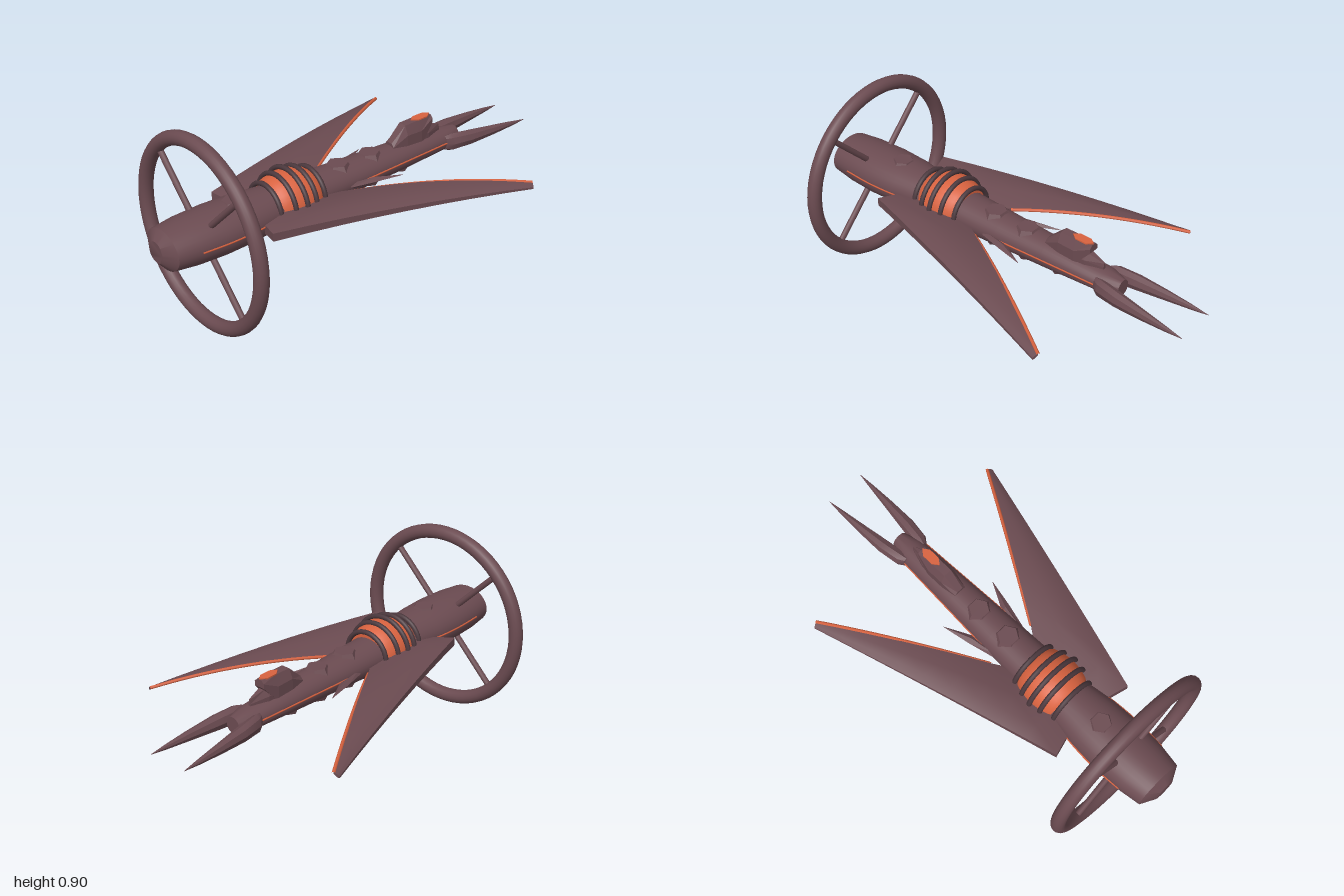
import * as THREE from 'three';
import { toCreasedNormals } from 'three/addons/utils/BufferGeometryUtils.js';

const AXIS = 0.45;
const hullMat = new THREE.MeshStandardMaterial({ color: 0x6b4b51 });
hullMat.name = 'dusky plum metal';
const darkMat = new THREE.MeshStandardMaterial({ color: 0x4b383d });
darkMat.name = 'dark coil metal';
const glowMat = new THREE.MeshStandardMaterial({ color: 0xd8623f });
glowMat.name = 'ember orange';

// Skin a list of equal-length point rings and cap both ends
function loft(rings, crease = 0.6) {
  const n = rings[0].length, pos = [], idx = [];
  rings.forEach(r => r.forEach(p => pos.push(...p)));
  for (let i = 0; i < rings.length - 1; i++) {
    for (let j = 0; j < n; j++) {
      const a = i * n + j, b = i * n + (j + 1) % n;
      idx.push(a, a + n, b + n, a, b + n, b);
    }
  }
  const last = (rings.length - 1) * n;
  for (let j = 1; j < n - 1; j++) {
    idx.push(0, j, j + 1, last, last + j + 1, last + j);
  }
  const g = new THREE.BufferGeometry();
  g.setAttribute('position', new THREE.Float32BufferAttribute(pos, 3));
  g.setIndex(idx);
  return toCreasedNormals(g, crease);
}

// Elliptical ring facing z
function ellipse(z, rx, ry, n, cx = 0, cy = AXIS) {
  return Array.from({ length: n }, (_, j) => {
    const a = (j / n) * Math.PI * 2;
    return [cx + rx * Math.cos(a), cy + ry * Math.sin(a), z];
  });
}

export function createModel() {
  const model = new THREE.Group();
  const add = (name, geo, mat, parent = model) => {
    const m = new THREE.Mesh(geo, mat);
    m.name = name;
    parent.add(m);
    return m;
  };

  // Fuselage: z, half width, half height
  const profile = [
    [1.0, 0.05, 0.048], [0.965, 0.117, 0.09], [0.86, 0.133, 0.1], [0.72, 0.14, 0.104],
    [0.58, 0.133, 0.102], [0.46, 0.115, 0.095], [0.2, 0.1, 0.082], [0, 0.092, 0.073],
    [-0.25, 0.08, 0.066], [-0.55, 0.066, 0.05], [-0.635, 0.036, 0.038],
  ];
  add('fuselage', loft(profile.map(([z, rx, ry]) => ellipse(z, rx, ry, 32))), hullMat);

  // Glowing barrel with its coils
  const barrel = [[0.44, 0.105], [0.42, 0.12], [0.38, 0.132], [0.33, 0.138], [0.28, 0.132], [0.24, 0.12], [0.22, 0.105]];
  add('glowingCore', loft(barrel.map(([z, r]) => ellipse(z, r, r, 32))), glowMat);
  [[0.45, 0.113], [0.388, 0.137], [0.333, 0.147], [0.277, 0.135], [0.215, 0.113]].forEach(([z, r]) => {
    add('coreCoil', new THREE.TorusGeometry(r, 0.0115, 10, 40), darkMat).position.set(0, AXIS, z);
  });

  // Large ring held by four diagonal struts
  add('outerRing', new THREE.TorusGeometry(0.417, 0.033, 16, 64), hullMat).position.set(0, AXIS, 0.78);
  for (let i = 0; i < 4; i++) {
    const a = Math.PI / 4 + (i * Math.PI) / 2;
    const strut = add('ringStrut', new THREE.CylinderGeometry(0.014, 0.014, 0.33, 10), hullMat);
    strut.position.set(Math.cos(a) * 0.245, AXIS + Math.sin(a) * 0.245, 0.78);
    strut.rotation.z = a - Math.PI / 2;
  }

  // Swept wings: drooping lens sections from root to tip
  const lerp = THREE.MathUtils.lerp;
  const droop = x => 0.468 - 0.65 * (x - 0.28) ** 2;
  const sections = [{ l: [0.07, 0.53], t: [0.07, 0.16], h: 0.036 }];
  for (let i = 0; i <= 8; i++) {
    const u = i / 8;
    sections.push({
      l: [lerp(0.22, 0.555, u), lerp(0.575, -0.6, u)],
      t: [lerp(0.125, 0.533, u), lerp(0.08, -0.612, u)],
      h: lerp(0.032, 0.007, u),
    });
  }
  const steps = [[0, 0.6], [0.3, 1], [0.65, 0.85], [1, 0.25]];
  for (const s of [1, -1]) {
    const wing = new THREE.Group();
    wing.name = s > 0 ? 'leftWing' : 'rightWing';
    model.add(wing);
    const rings = sections.map(({ l, t, h }) => {
      const at = (c, dy) => {
        const x = lerp(l[0], t[0], c);
        return [s * x, droop(x) + dy - 0.008 * (1 - c), lerp(l[1], t[1], c)];
      };
      const ring = [...steps.map(([c, k]) => at(c, h * k)), ...steps.map(([c, k]) => at(c, -h * k)).reverse()];
      return s > 0 ? ring : ring.reverse();
    });
    add('wingPanel', loft(rings, 0.5), hullMat, wing);

    // Orange inner edge
    const edge = sections.map(({ t }) => new THREE.Vector3(s * t[0], droop(t[0]), t[1]));
    add('wingEdgeGlow', new THREE.TubeGeometry(new THREE.CatmullRomCurve3(edge.slice(1)), 24, 0.008, 6), glowMat, wing);

    // Orange side seams along the fuselage
    for (const part of [profile.slice(2, 6), profile.slice(7, 10)]) {
      const pts = part.map(([z, rx]) => new THREE.Vector3(s * rx, AXIS + 0.004, z));
      add('sideSeam', new THREE.TubeGeometry(new THREE.CatmullRomCurve3(pts), 16, 0.004, 5), glowMat);
    }

    // Tail prongs
    const prong = [
      [-0.53, 0.052, 0.018, 0.035], [-0.56, 0.06, 0.032, 0.042], [-0.66, 0.074, 0.032, 0.036],
      [-0.8, 0.085, 0.021, 0.024], [-0.92, 0.092, 0.01, 0.012], [-1.0, 0.096, 0.001, 0.001],
    ].map(([z, x, rx, ry]) => ellipse(z, rx, ry, 8, s * x, 0.45 + (z + 0.55) * 0.03));
    add('tailProng', loft(prong, 0.5), hullMat);

    // Small swept side spikes
    const spike = [[0.06, 0.085, 0.012, 0.014], [-0.06, 0.105, 0.022, 0.014], [-0.19, 0.152, 0.001, 0.001]]
      .map(([z, x, rx, ry]) => ellipse(z, rx, ry, 4, s * x, AXIS));
    add('sideSpike', loft(spike, 0.1), hullMat);
  }

  // Hexagonal armour plates above and below: z, width, outer height
  const plates = [[0.62, 0.065, 0.107, 1], [0.62, 0.065, 0.107, -1], [0.06, 0.07, 0.083, 1], [0.06, 0.07, 0.083, -1],
    [-0.12, 0.068, 0.077, 1], [-0.12, 0.068, 0.077, -1], [-0.3, 0.058, 0.071, -1]];
  for (const [z, r, top, s] of plates) {
    const g = new THREE.CylinderGeometry(r * 0.68, r, 0.04, 6).toNonIndexed();
    g.rotateY(Math.PI / 6);
    if (s < 0) g.rotateX(Math.PI);
    g.computeVertexNormals();
    add('armourPlate', g, hullMat).position.set(0, AXIS + s * (top - 0.02), z);
  }

  // Faceted dorsal pod with a notched rear: z, half width, bottom, top
  const pod = [
    [-0.24, 0.03, 0.49, 0.53], [-0.315, 0.04, 0.49, 0.598], [-0.4, 0.04, 0.48, 0.6],
    [-0.475, 0.026, 0.565, 0.6],
  ];
  const podRing = ([z, w, lo, hi]) => [
    [w, lo, z], [w, lerp(lo, hi, 0.6), z], [w * 0.5, hi, z],
    [-w * 0.5, hi, z], [-w, lerp(lo, hi, 0.6), z], [-w, lo, z],
  ];
  add('dorsalPod', loft(pod.map(podRing), 0.1), hullMat);
  const heel = [[-0.38, 0.038, 0.47, 0.57], [-0.45, 0.032, 0.47, 0.556], [-0.535, 0.006, 0.48, 0.53]];
  add('dorsalPodHeel', loft(heel.map(podRing), 0.1), hullMat);

  // Orange lens on top of the pod
  const lens = new THREE.CylinderGeometry(0.024, 0.024, 0.006, 6);
  lens.scale(1, 1, 2.3);
  add('dorsalLens', lens, glowMat).position.set(0, 0.601, -0.42);

  return model;
}
